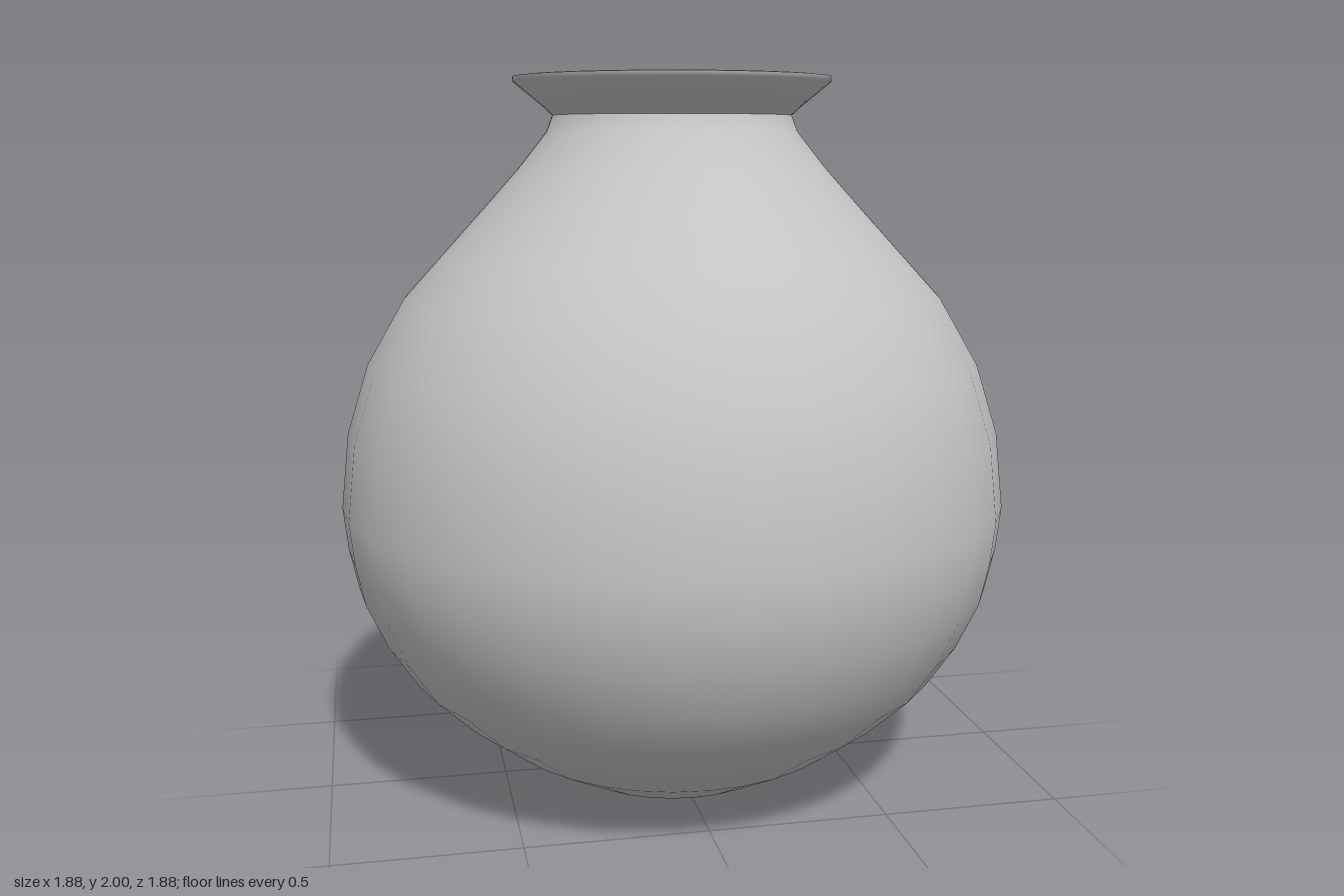
import * as THREE from 'three';

const SEGMENTS = 32;
const toPoints = (pairs) => pairs.map(([r, y]) => new THREE.Vector2(r, y));

export function createModel() {
  const clay = new THREE.MeshStandardMaterial({ color: 0xc4c4c4 });
  clay.name = 'grey clay';
  const pot = new THREE.Group();
  pot.name = 'pot';

  const addTurned = (name, profile) => {
    const mesh = new THREE.Mesh(new THREE.LatheGeometry(toPoints(profile), SEGMENTS), clay);
    mesh.name = name;
    pot.add(mesh);
  };

  // Flat underside
  addTurned('base', [[0, 0], [0.29, 0.003], [0.32, 0.015]]);

  // Round belly narrowing to the neck
  addTurned('body', [
    [0.32, 0.015], [0.5, 0.115], [0.64, 0.22], [0.76, 0.335], [0.84, 0.455],
    [0.9, 0.585], [0.925, 0.7], [0.938, 0.82], [0.915, 1.03], [0.855, 1.22],
    [0.75, 1.4], [0.64, 1.52], [0.525, 1.645], [0.43, 1.75], [0.35, 1.85], [0.333, 1.895],
  ]);

  // Flared lip, thin at the edge
  addTurned('lip', [[0.333, 1.895], [0.36, 1.92], [0.44, 1.985], [0.442, 1.998]]);
  addTurned('lipInside', [[0.442, 1.998], [0.425, 2], [0.375, 1.955], [0.33, 1.91], [0.315, 1.885]]);

  // Hollow inside, from the neck down to the floor
  addTurned('inside', [
    [0.315, 1.885], [0.33, 1.84], [0.505, 1.63], [0.725, 1.385], [0.83, 1.21],
    [0.89, 1.03], [0.912, 0.82], [0.875, 0.595], [0.74, 0.35], [0.485, 0.14],
    [0.31, 0.04], [0, 0.03],
  ]);

  return pot;
}
